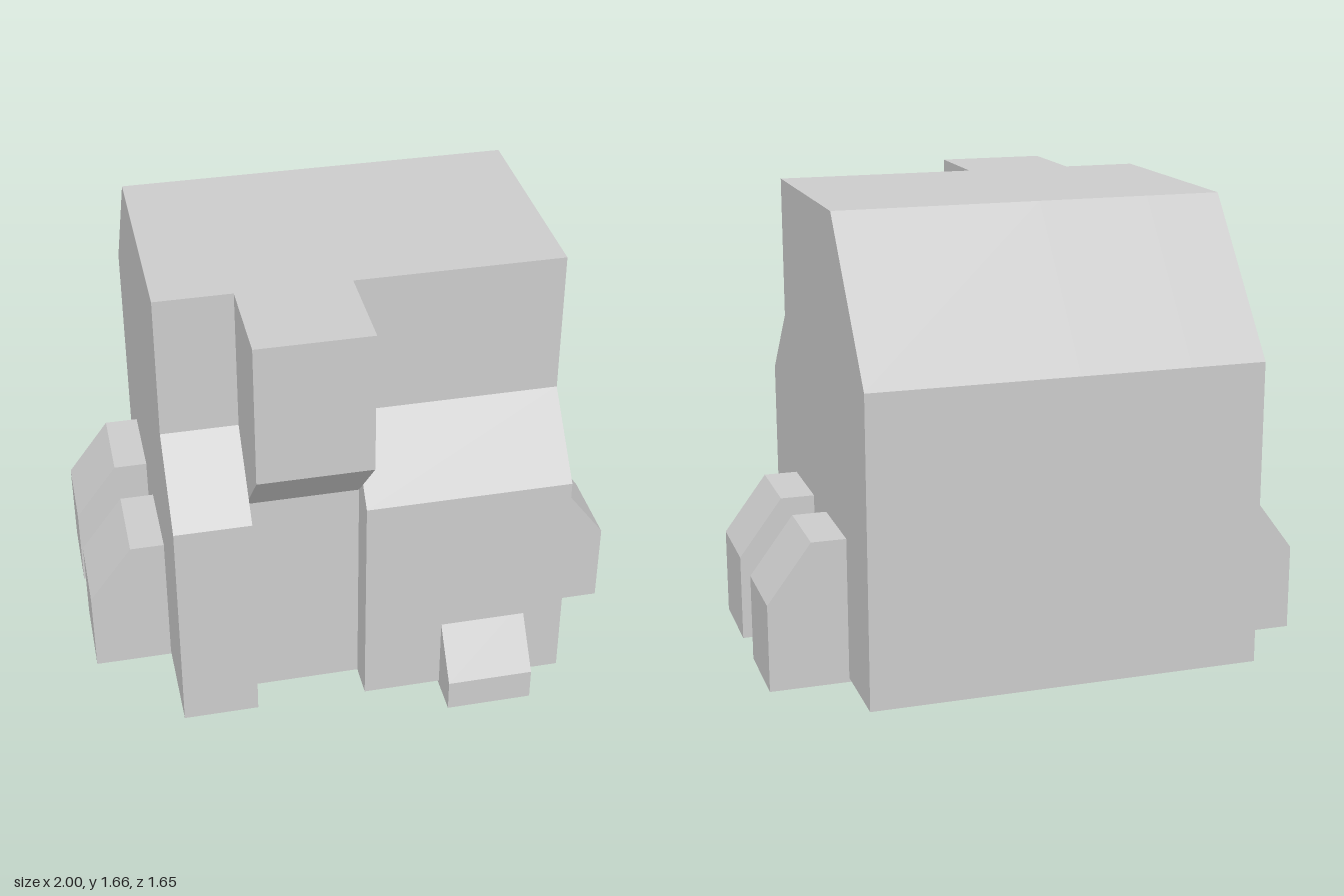
import * as THREE from 'three';

const material = new THREE.MeshStandardMaterial({ color: 0xcccccc, flatShading: true });

// Extrudes an outline by a width, centred on the outline's plane
function prism(name, points, width) {
  const shape = new THREE.Shape(points.map(([u, y]) => new THREE.Vector2(u, y)));
  const geometry = new THREE.ExtrudeGeometry(shape, { depth: width, bevelEnabled: false });
  geometry.translate(0, 0, -width / 2);
  const mesh = new THREE.Mesh(geometry, material);
  mesh.name = name;
  return mesh;
}

// Side-profile slab (z, y) spanning x0 to x1
function slab(name, points, x0, x1) {
  const mesh = prism(name, points, x1 - x0);
  mesh.rotation.y = -Math.PI / 2;
  mesh.position.x = (x0 + x1) / 2;
  return mesh;
}

// Foot outline with a chamfered toe, running outward from u = 0
const footProfile = (length, toeHeight, topHeight) => [
  [0, 0], [length, 0], [length, toeHeight], [length - 0.16, topHeight], [0, topHeight],
];

export function createModel() {
  const model = new THREE.Group();
  model.name = 'model';

  // Body: three slabs sharing one back and top, differing at the front
  const base = 0.015, top = 1.66, back = -0.825;
  const rear = [[-0.39, top], [back, 1.13], [back, base]];
  const cheek = [...rear, [0.69, base], [0.69, 0.87], [0.45, 1.13], [0.45, top]];
  const middle = [...rear, [0.565, base], [0.565, 0.87], [0.805, 1.13], [0.805, top]];
  model.add(
    slab('bodyRight', cheek, -0.715, -0.44),
    slab('bodyMiddle', middle, -0.44, -0.035),
    slab('bodyLeft', cheek, -0.035, 0.715),
  );

  // Side feet, two on each side
  for (const side of [1, -1]) {
    for (const z of [0.155, -0.365]) {
      const foot = prism(side > 0 ? 'leftFoot' : 'rightFoot', footProfile(0.44, 0.32, 0.535), 0.315);
      foot.rotation.y = side > 0 ? 0 : Math.PI;
      foot.position.set(side * 0.56, 0, z);
      model.add(foot);
    }
  }

  // Single low foot at the front
  const frontFoot = prism('frontFoot', footProfile(0.445, 0.12, 0.325), 0.315);
  frontFoot.rotation.y = -Math.PI / 2;
  frontFoot.position.set(0.41, 0, 0.38);
  model.add(frontFoot);

  return model;
}
